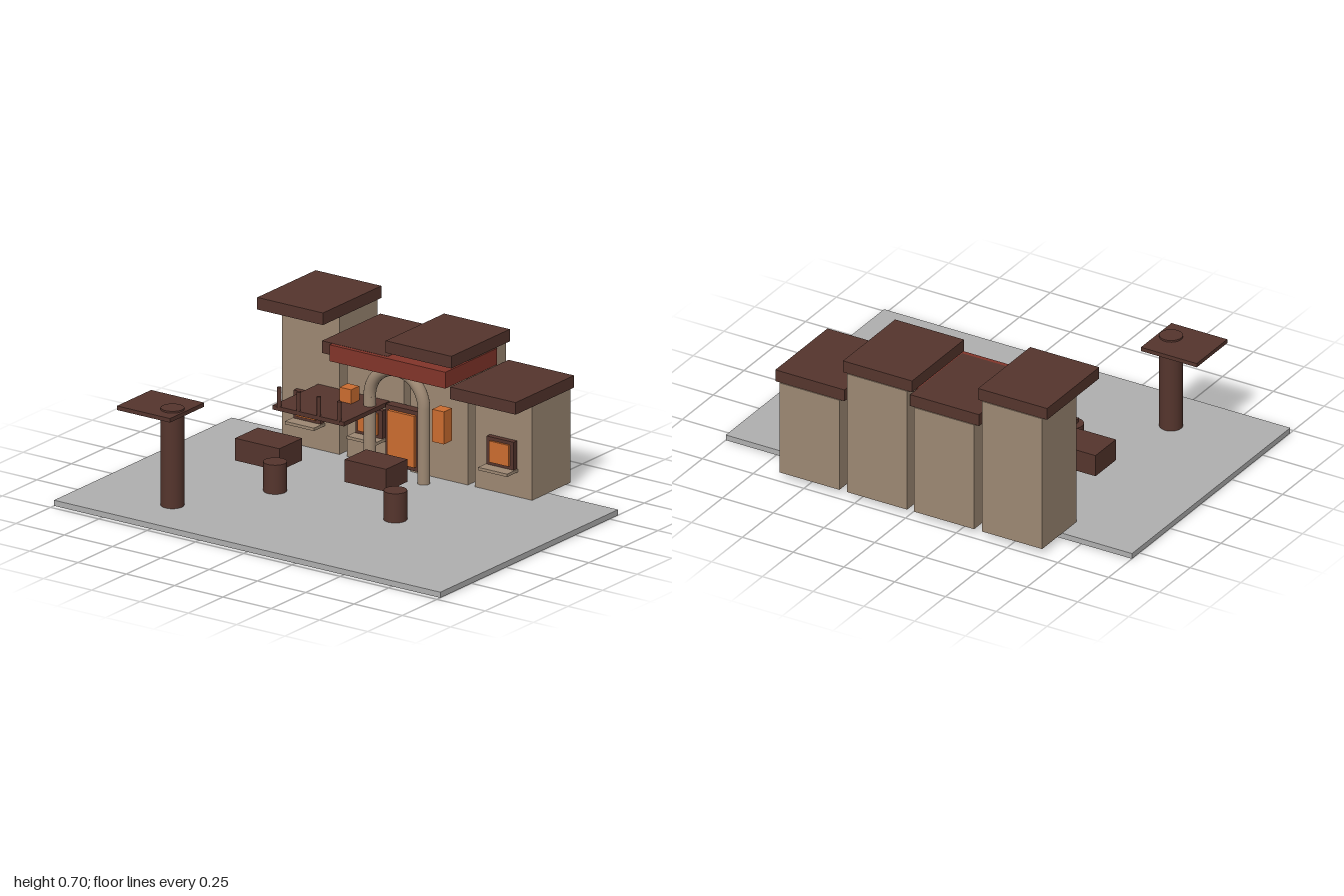
import * as THREE from 'three';

const mat = (name, color) => Object.assign(new THREE.MeshStandardMaterial({ color }), { name });

export function createModel() {
  const g = new THREE.Group();
  g.name = 'marketStreet';
  const stone = mat('grey paving', 0xb0b0b0);
  const tan = mat('tan plaster', 0x9d8873);
  const brown = mat('dark brown wood', 0x55352d);
  const red = mat('brick red', 0x82352a);
  const orange = mat('warm orange', 0xcc6d30);

  const add = (name, geo, material, parent = g) => {
    const m = new THREE.Mesh(geo, material);
    m.name = name;
    parent.add(m);
    return m;
  };
  // box given by its limits on each axis
  const box = (name, material, [x0, x1], [y0, y1], [z0, z1], parent = g) => {
    const m = add(name, new THREE.BoxGeometry(x1 - x0, y1 - y0, z1 - z0), material, parent);
    m.position.set((x0 + x1) / 2, (y0 + y1) / 2, (z0 + z1) / 2);
    return m;
  };
  const rod = (name, material, r, x, z, y0, y1) => {
    const m = add(name, new THREE.CylinderGeometry(r, r, y1 - y0, 32), material);
    m.position.set(x, (y0 + y1) / 2, z);
    return m;
  };

  box('ground', stone, [-0.725, 0.56], [0, 0.025], [-1, 1]);

  // row of four houses with overhanging flat roofs: [centre z, wall top]
  for (const [z, top] of [[0.49, 0.455], [0.157, 0.593], [-0.173, 0.525], [-0.508, 0.65]]) {
    const house = new THREE.Group();
    house.name = 'house';
    g.add(house);
    box('walls', tan, [0.445, 0.722], [0.025, top], [z - 0.148, z + 0.148], house);
    box('roof', brown, [0.295, 0.718], [top, top + 0.054], [z - 0.17, z + 0.17], house);
  }

  // long red beam through the middle houses
  box('redBeam', red, [0.275, 0.65], [0.505, 0.578], [-0.29, 0.31]);

  // windows with sill shelves
  for (const z of [0.49, -0.19, -0.51]) {
    const win = new THREE.Group();
    win.name = 'window';
    g.add(win);
    box('windowFrame', brown, [0.42, 0.446], [0.145, 0.275], [z - 0.07, z + 0.07], win);
    box('windowPane', orange, [0.41, 0.421], [0.165, 0.26], [z - 0.05, z + 0.05], win);
    box('windowSill', tan, [0.365, 0.446], [0.137, 0.15], [z - 0.075, z + 0.075], win);
  }

  // door inside the archway
  box('doorFrame', brown, [0.4, 0.446], [0.05, 0.318], [-0.09, 0.09]);
  box('doorPanel', orange, [0.385, 0.401], [0.07, 0.3], [-0.07, 0.07]);

  // archway: two columns and a half ring
  for (const z of [-0.14, 0.14]) rod('archColumn', tan, 0.027, 0.357, z, 0.025, 0.36);
  const arch = add('archTop', new THREE.TorusGeometry(0.14, 0.027, 16, 32, Math.PI), tan);
  arch.rotation.y = Math.PI / 2;
  arch.position.set(0.357, 0.36, 0);

  // lantern boxes on both sides of the arch
  for (const z of [-0.24, 0.24]) box('lantern', orange, [0.32, 0.38], [0.235, 0.38], [z - 0.03, z + 0.03]);

  // balcony with railing posts
  box('balconyDeck', brown, [0.115, 0.446], [0.298, 0.317], [-0.47, -0.1]);
  for (const z of [-0.44, -0.34, -0.235, -0.13]) rod('railPost', brown, 0.009, 0.122, z, 0.31, 0.402);

  // crates
  box('crate', brown, [-0.01, 0.155], [0.085, 0.184], [-0.575, -0.345]);
  box('crate', brown, [0.118, 0.275], [0.05, 0.15], [-0.1, 0.115]);

  // stools
  for (const z of [-0.315, 0.308]) rod('stool', brown, 0.05, -0.083, z, 0.025, 0.155);

  // sign post with a flat board
  rod('signPost', brown, 0.05, -0.483, -0.56, 0.025, 0.46);
  box('signBoard', brown, [-0.585, -0.337], [0.434, 0.452], [-0.775, -0.5]);

  return g;
}
